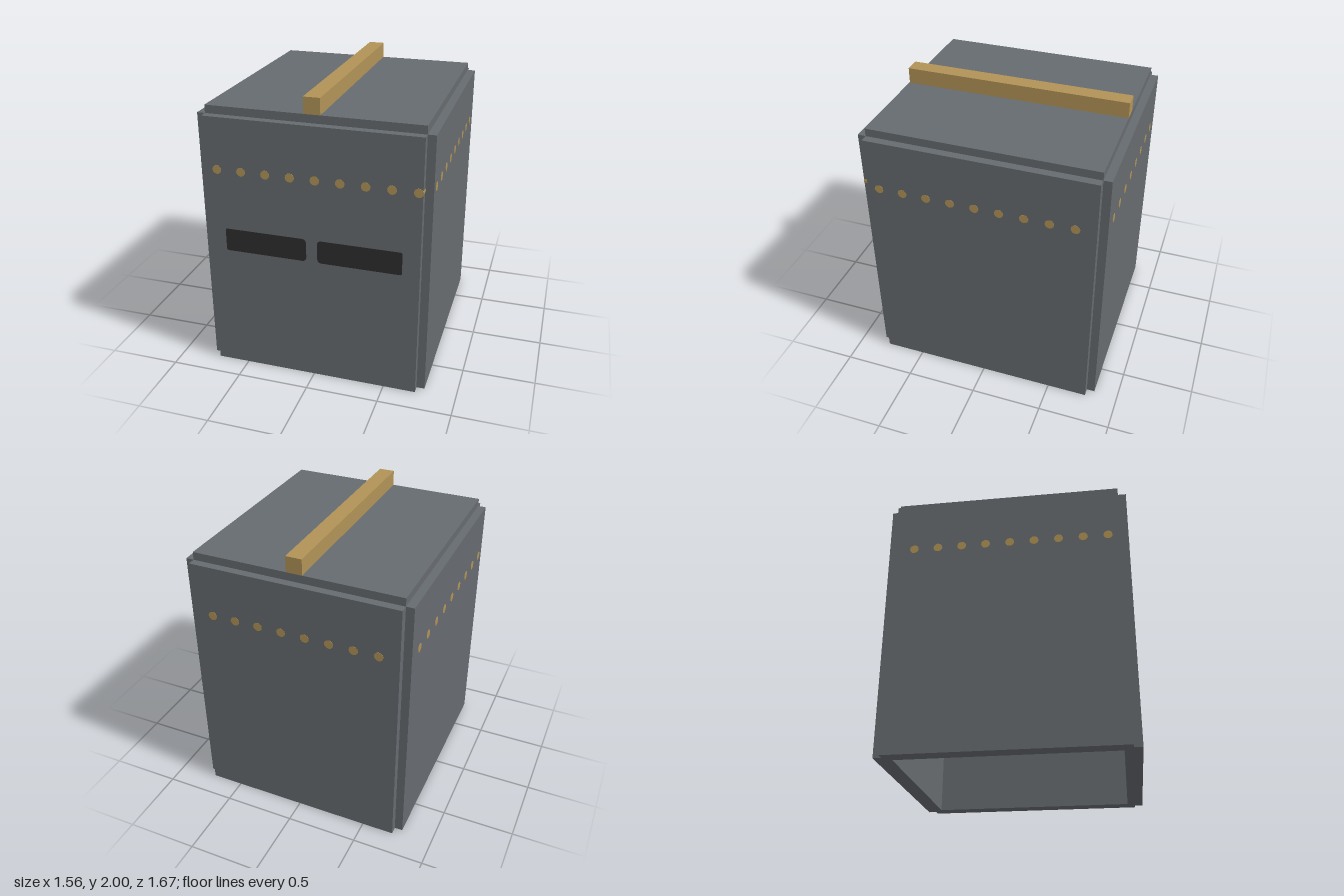
import * as THREE from 'three';

const steel = new THREE.MeshStandardMaterial({ color: 0x666b6f });
steel.name = 'steel';
const brass = new THREE.MeshStandardMaterial({ color: 0xb19357 });
brass.name = 'brass';
const black = new THREE.MeshStandardMaterial({ color: 0x2d2d2d });
black.name = 'black';

const T = 0.111;            // plate thickness
const HX = 0.723;           // plate centre planes
const HZ = 0.778;
const WALL = 1.834;         // wall height

export function createModel() {
  const group = new THREE.Group();

  const add = (name, geometry, material, x, y, z) => {
    const mesh = new THREE.Mesh(geometry, material);
    mesh.name = name;
    mesh.position.set(x, y, z);
    group.add(mesh);
    return mesh;
  };
  const box = (name, w, h, d, material, x, y, z) =>
    add(name, new THREE.BoxGeometry(w, h, d), material, x, y, z);

  // Overlapping wall plates, open at the bottom, with a raised top plate
  box('frontPlate', 2 * HX, WALL, T, steel, 0, WALL / 2, HZ);
  box('backPlate', 2 * HX, WALL, T, steel, 0, WALL / 2, -HZ);
  box('leftPlate', T, WALL, 2 * HZ, steel, HX, WALL / 2, 0);
  box('rightPlate', T, WALL, 2 * HZ, steel, -HX, WALL / 2, 0);
  box('topPlate', 2 * HX, T, 2 * HZ, steel, 0, WALL, 0);

  // Ridge bar along the top
  box('ridgeBar', T, T, 2 * HZ, brass, 0, 2 - T / 2, 0);

  // Rivet rows, running right through the plates
  const rivet = new THREE.CylinderGeometry(0.031, 0.031, T + 0.004, 12);
  const step = 0.167, rivetY = 1.476;
  for (let i = 0; i < 9; i++) {
    const p = -0.64 + i * step;
    add('frontRivet', rivet, brass, p, rivetY, HZ).rotation.x = Math.PI / 2;
    for (const s of [-1, 1]) {
      add('sideRivet', rivet, brass, s * HX, rivetY, p).rotation.z = Math.PI / 2;
    }
  }
  for (let i = 0; i < 8; i++) {
    add('backRivet', rivet, brass, (i - 3.5) * step, rivetY, -HZ).rotation.x = Math.PI / 2;
  }

  // Eye slots: softer corners toward the middle, visible on both sides of the plate
  for (const s of [-1, 1]) {
    const a = 0.038, b = 0.607, lo = 0.893, hi = 1.055, r = 0.03, q = 0.014;
    const shape = new THREE.Shape();
    shape.moveTo(s * (a + r), lo);
    shape.lineTo(s * (b - q), lo);
    shape.quadraticCurveTo(s * b, lo, s * b, lo + q);
    shape.lineTo(s * b, hi - q);
    shape.quadraticCurveTo(s * b, hi, s * (b - q), hi);
    shape.lineTo(s * (a + r), hi);
    shape.quadraticCurveTo(s * a, hi, s * a, hi - r);
    shape.lineTo(s * a, lo + r);
    shape.quadraticCurveTo(s * a, lo, s * (a + r), lo);
    const slot = new THREE.ExtrudeGeometry(shape, {
      depth: T + 0.004, bevelEnabled: false, curveSegments: 5,
    });
    add(s > 0 ? 'leftEyeSlot' : 'rightEyeSlot', slot, black, 0, 0, HZ - T / 2 - 0.002);
  }

  return group;
}
